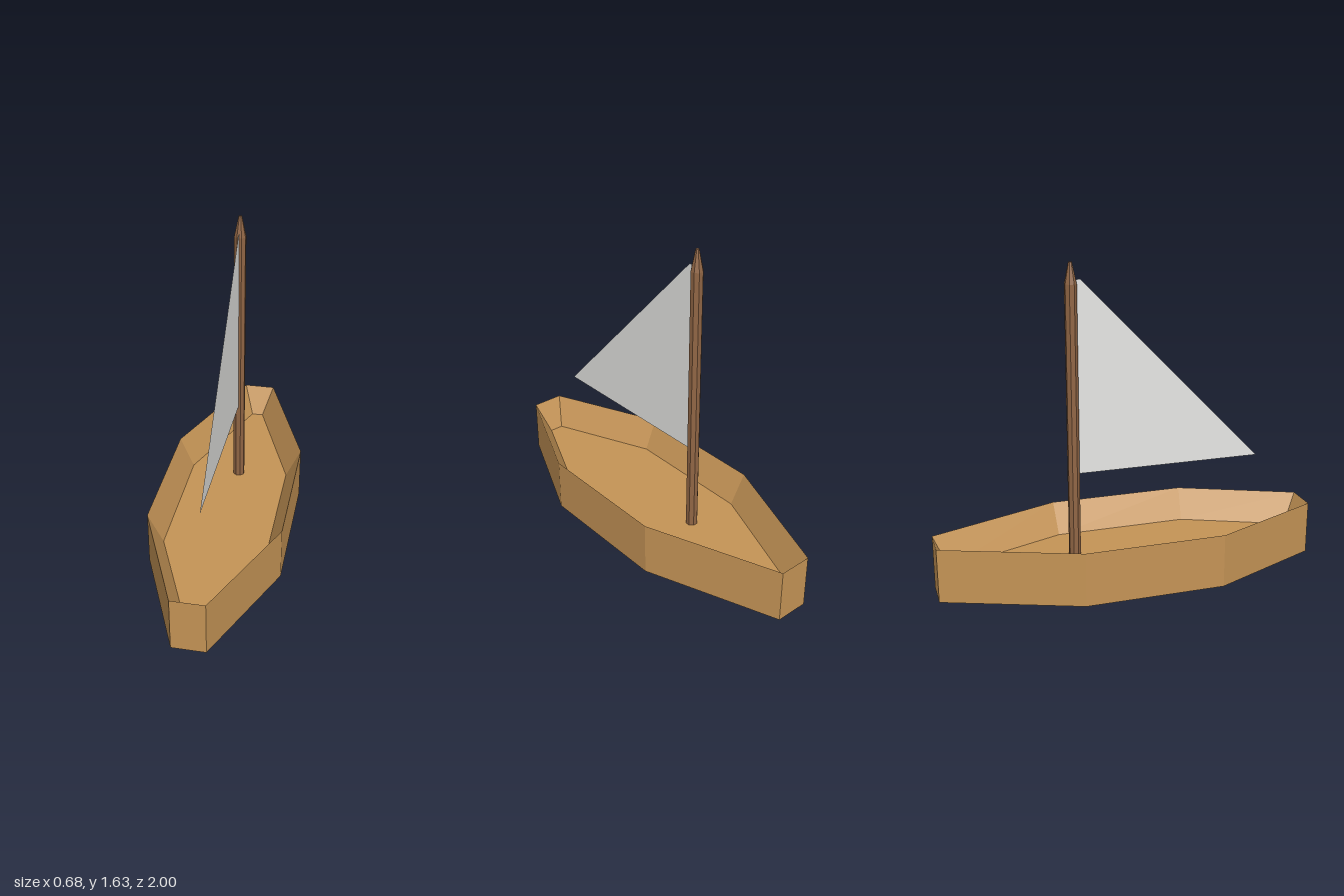
import * as THREE from 'three';

const wood = new THREE.MeshStandardMaterial({ color: 0xc59456 });
wood.name = 'hull wood';
const darkWood = new THREE.MeshStandardMaterial({ color: 0x916645, flatShading: true });
darkWood.name = 'mast wood';
const canvas = new THREE.MeshStandardMaterial({ color: 0xeeeeec, side: THREE.DoubleSide });
canvas.name = 'sail canvas';

// Eight-cornered ring, counterclockwise from above: corners at bow, midship and stern
function ring(y, front, midFront, midBack, back) {
  const half = [front, midFront, midBack, back];
  const mirrored = half.map(([x, z]) => [-x, z]).reverse();
  return [...half, ...mirrored].map(([x, z]) => [x, y, z]);
}

// Hollow hull: vertical outside, walls sloping in from a sharp rim to the floor
function hullGeometry() {
  const outline = [[0.085, 1], [0.342, 0.407], [0.342, -0.318], [0.085, -1]];
  const bottom = ring(0, ...outline);
  const rim = ring(0.283, ...outline);
  const floor = ring(0.122, [0.037, 0.922], [0.265, 0.397], [0.265, -0.307], [0.031, -0.928]);
  const points = [];
  const tri = (a, b, c) => points.push(...a, ...b, ...c);
  for (const [lower, upper] of [[bottom, rim], [rim, floor]]) {
    for (let i = 0; i < 8; i++) {
      const j = (i + 1) % 8;
      tri(lower[i], lower[j], upper[j]);
      tri(lower[i], upper[j], upper[i]);
    }
  }
  for (let i = 1; i < 7; i++) {
    tri(floor[0], floor[i], floor[i + 1]);
    tri(bottom[0], bottom[i + 1], bottom[i]);
  }
  const geometry = new THREE.BufferGeometry();
  geometry.setAttribute('position', new THREE.Float32BufferAttribute(points, 3));
  geometry.computeVertexNormals();
  return geometry;
}

export function createModel() {
  const model = new THREE.Group();
  model.name = 'sailboat';
  const add = (name, geometry, material) => {
    const mesh = new THREE.Mesh(geometry, material);
    mesh.name = name;
    model.add(mesh);
    return mesh;
  };

  add('hull', hullGeometry(), wood);

  // Octagonal mast with a tapered tip
  const mastZ = -0.285, shoulder = 1.53, foot = 0.122, top = 1.635;
  const addMastPart = (name, rTop, rBottom, y0, y1, open) => {
    const geometry = new THREE.CylinderGeometry(rTop, rBottom, y1 - y0, 8, 1, open);
    geometry.rotateY(Math.PI / 8);
    add(name, geometry, darkWood).position.set(0, (y0 + y1) / 2, mastZ);
  };
  addMastPart('mast', 0.031, 0.031, foot, shoulder, true);
  addMastPart('mastTip', 0.009, 0.031, shoulder, top, false);

  // Flat triangular sail, its luff buried in the mast
  const sail = new THREE.Shape([
    new THREE.Vector2(mastZ, 0.565),
    new THREE.Vector2(0.715, 0.565),
    new THREE.Vector2(-0.235, 1.55),
    new THREE.Vector2(mastZ, 1.55),
  ]);
  add('sail', new THREE.ShapeGeometry(sail).rotateY(-Math.PI / 2), canvas);

  return model;
}
